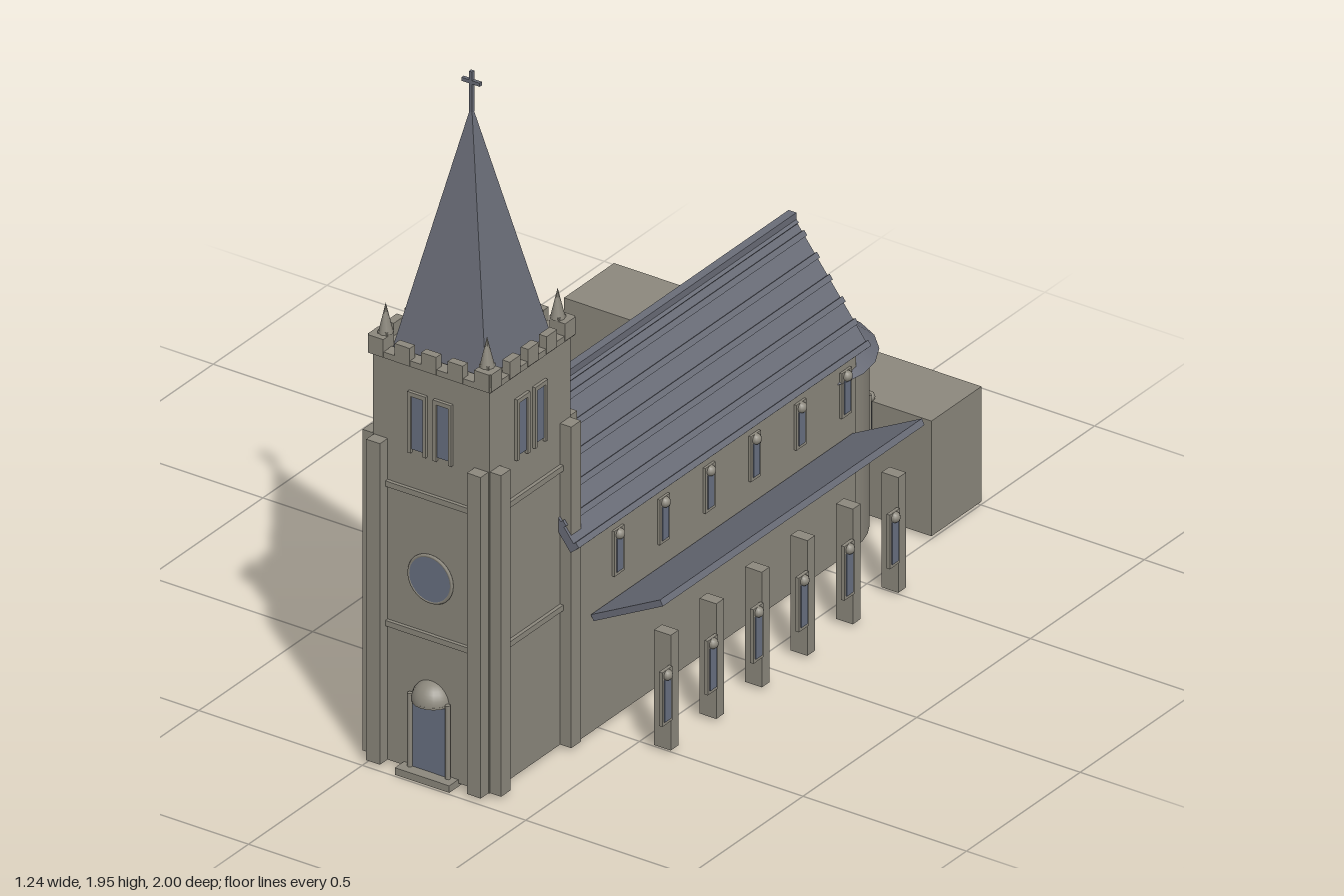
import * as THREE from 'three';

const stone = new THREE.MeshStandardMaterial({ color: 0x8c887d });
stone.name = 'stone';
const slate = new THREE.MeshStandardMaterial({ color: 0x6a6d78 });
slate.name = 'slate';
const glass = new THREE.MeshStandardMaterial({ color: 0x697182 });
glass.name = 'glass';

const CX = 0.178;   // church axis
const TZ = 0.775;   // tower centre
const FLOOR = 0.01;

function add(parent, name, geometry, material, x = 0, y = 0, z = 0) {
  const mesh = new THREE.Mesh(geometry, material);
  mesh.name = name;
  mesh.position.set(x, y, z);
  parent.add(mesh);
  return mesh;
}

// box given by its limits
function block(parent, name, material, x0, x1, y0, y1, z0, z1) {
  return add(parent, name, new THREE.BoxGeometry(x1 - x0, y1 - y0, z1 - z0), material,
    (x0 + x1) / 2, (y0 + y1) / 2, (z0 + z1) / 2);
}

// sloping plate whose upper face runs between two points in the xy plane
function slab(parent, name, material, x0, y0, x1, y1, t, z0, z1) {
  if (x1 < x0) [x0, y0, x1, y1] = [x1, y1, x0, y0];
  const a = Math.atan2(y1 - y0, x1 - x0);
  const mesh = add(parent, name,
    new THREE.BoxGeometry(Math.hypot(x1 - x0, y1 - y0), t, z1 - z0), material,
    (x0 + x1) / 2 + Math.sin(a) * t / 2, (y0 + y1) / 2 - Math.cos(a) * t / 2, (z0 + z1) / 2);
  mesh.rotation.z = a;
}

// narrow framed window with a small rounded hood, facing +z
function lancet(height) {
  const g = new THREE.Group();
  g.name = 'lancetWindow';
  block(g, 'windowFrame', stone, -0.022, 0.022, 0, height, -0.006, 0.004);
  block(g, 'windowGlass', glass, -0.014, 0.014, 0.01, height - 0.025, 0.004, 0.007);
  add(g, 'windowHood', new THREE.SphereGeometry(0.015, 10, 8), stone, 0, height - 0.015, 0.004);
  return g;
}

function buildTower() {
  const tower = new THREE.Group();
  tower.name = 'tower';
  tower.position.set(CX, 0, TZ);
  block(tower, 'towerShaft', stone, -0.178, 0.178, FLOOR, 1.17, -0.178, 0.178);

  // the four faces share buttresses, string courses, belfry openings and merlons
  for (let i = 0; i < 4; i++) {
    const face = new THREE.Group();
    face.name = 'towerFace';
    face.rotation.y = i * Math.PI / 2;
    tower.add(face);
    for (const s of [-1, 1]) {
      const b = s * 0.154;
      block(face, 'buttress', stone, b - 0.021, b + 0.021, FLOOR, 0.93, 0.16, 0.212);
      const w = s * 0.039;
      block(face, 'belfryGlass', glass, w - 0.019, w + 0.019, 0.925, 1.08, 0.178, 0.182);
      for (const e of [-1, 1]) {
        const p = w + e * 0.023;
        block(face, 'belfryJamb', stone, p - 0.005, p + 0.005, 0.915, 1.088, 0.176, 0.187);
      }
      block(face, 'belfryHead', stone, w - 0.028, w + 0.028, 1.078, 1.09, 0.176, 0.187);
    }
    for (const y of [0.405, 0.805]) {
      block(face, 'stringCourse', stone, -0.135, 0.135, y - 0.008, y + 0.008, 0.17, 0.188);
    }
    block(face, 'parapetBase', stone, -0.187, 0.187, 1.163, 1.18, 0.15, 0.187);
    for (let k = -2; k <= 2; k++) {
      const m = k * 0.081;
      block(face, 'merlon', stone, m - 0.023, m + 0.023, 1.166, 1.216, 0.166, 0.189);
    }
    // corner pinnacles
    add(face, 'pinnacleBase', new THREE.BoxGeometry(0.03, 0.06, 0.03), stone, 0.155, 1.195, 0.155);
    add(face, 'pinnacle', new THREE.ConeGeometry(0.02, 0.085, 8), stone, 0.155, 1.26, 0.155);
  }

  // spire and cross
  const spire = new THREE.ConeGeometry(0.143 * Math.SQRT2, 0.68, 4, 1).toNonIndexed();
  spire.rotateY(Math.PI / 4);
  spire.computeVertexNormals();
  add(tower, 'spire', spire, slate, 0, 1.51, 0);
  block(tower, 'crossUpright', slate, -0.005, 0.005, 1.83, 1.945, -0.005, 0.005);
  block(tower, 'crossArm', slate, -0.028, 0.028, 1.91, 1.92, -0.005, 0.005);

  // round window
  const rose = add(tower, 'roseWindow', new THREE.CylinderGeometry(0.064, 0.064, 0.008, 32), glass, 0, 0.57, 0.181);
  rose.rotation.x = Math.PI / 2;
  add(tower, 'roseWindowRim', new THREE.TorusGeometry(0.065, 0.005, 6, 32), stone, 0, 0.57, 0.181);

  // portal
  block(tower, 'door', glass, -0.052, 0.052, 0.02, 0.22, 0.178, 0.186);
  for (const s of [-1, 1]) {
    add(tower, 'doorColumn', new THREE.CylinderGeometry(0.007, 0.007, 0.21, 8), stone, s * 0.058, 0.125, 0.188);
  }
  add(tower, 'doorCanopy',
    new THREE.SphereGeometry(0.056, 20, 10, 0, Math.PI * 2, 0, Math.PI / 2), stone, 0, 0.222, 0.169);
  add(tower, 'doorCanopyBase', new THREE.CylinderGeometry(0.056, 0.056, 0.006, 20), stone, 0, 0.222, 0.169);
  block(tower, 'doorStep', stone, -0.083, 0.083, 0, 0.02, 0.15, 0.218);
  return tower;
}

function buildNave() {
  const nave = new THREE.Group();
  nave.name = 'nave';
  nave.position.x = CX;

  // walls with gables
  const section = new THREE.Shape([
    [-0.205, FLOOR], [0.205, FLOOR], [0.205, 0.575], [0, 0.855], [-0.205, 0.575],
  ].map(([x, y]) => new THREE.Vector2(x, y)));
  add(nave, 'naveWalls', new THREE.ExtrudeGeometry(section, { depth: 1.22, bevelEnabled: false }),
    stone, 0, 0, -0.62);

  // main roof with raised courses, clerestory windows
  for (const s of [-1, 1]) {
    slab(nave, 'naveRoof', slate, 0, 0.895, s * 0.235, 0.59, 0.025, -0.635, 0.65);
    for (let i = 1; i <= 6; i++) {
      const t = i / 6, d = 0.016;
      const x = 0.235 * t, y = 0.895 - 0.305 * t;
      slab(nave, 'roofCourse', slate, s * (x - d * 0.6 + 0.006), y + d * 0.8 + 0.006,
        s * (x + 0.006), y + 0.006, 0.018, -0.635, 0.65);
    }
    for (let i = 0; i < 6; i++) {
      const win = lancet(0.13);
      win.position.set(s * 0.208, 0.415, 0.43 - 0.2 * i);
      win.rotation.y = s * Math.PI / 2;
      nave.add(win);
    }
  }
  block(nave, 'ridge', slate, -0.012, 0.012, 0.882, 0.905, -0.635, 0.65);
  return nave;
}

function buildAisles() {
  const aisles = new THREE.Group();
  aisles.name = 'aisles';
  aisles.position.x = CX;
  block(aisles, 'aisleWalls', stone, -0.425, -0.19, FLOOR, 0.34, -0.6, 0.55);
  for (const s of [-1, 1]) {
    slab(aisles, 'aisleRoof', slate, s * 0.208, 0.35, s * 0.42, 0.459, 0.018, -0.6, 0.55);
    for (let i = 0; i < 6; i++) {
      const win = lancet(0.155);
      win.position.set(s * 0.426, 0.1, (s > 0 ? 0.533 : 0.43) - 0.2 * i);
      win.rotation.y = s * Math.PI / 2;
      aisles.add(win);
    }
  }
  // free-standing piers on one side
  for (let i = 0; i < 6; i++) {
    const z = 0.492 - 0.2 * i;
    block(aisles, 'pier', stone, 0.373, 0.424, FLOOR, 0.34, z - 0.017, z + 0.017);
  }
  return aisles;
}

function buildApse() {
  const apse = new THREE.Group();
  apse.name = 'apse';
  apse.position.set(CX, 0, -0.623);
  add(apse, 'apseWall', new THREE.CylinderGeometry(0.2, 0.2, 0.51, 32), stone, 0, 0.265, 0);
  add(apse, 'apseRoof', new THREE.ConeGeometry(0.225, 0.185, 20), slate, 0, 0.608, 0);
  for (let i = -1; i <= 1; i++) {
    const a = Math.PI + i * 0.7;
    const win = lancet(0.15);
    win.position.set(Math.sin(a) * 0.203, 0.215, Math.cos(a) * 0.203);
    win.rotation.y = a;
    apse.add(win);
  }
  return apse;
}

export function createModel() {
  const church = new THREE.Group();
  church.name = 'church';
  church.add(buildTower(), buildNave(), buildAisles(), buildApse());
  block(church, 'rearAnnex', stone, -0.622, 0.502, FLOOR, 0.34, -1, -0.78);
  return church;
}
